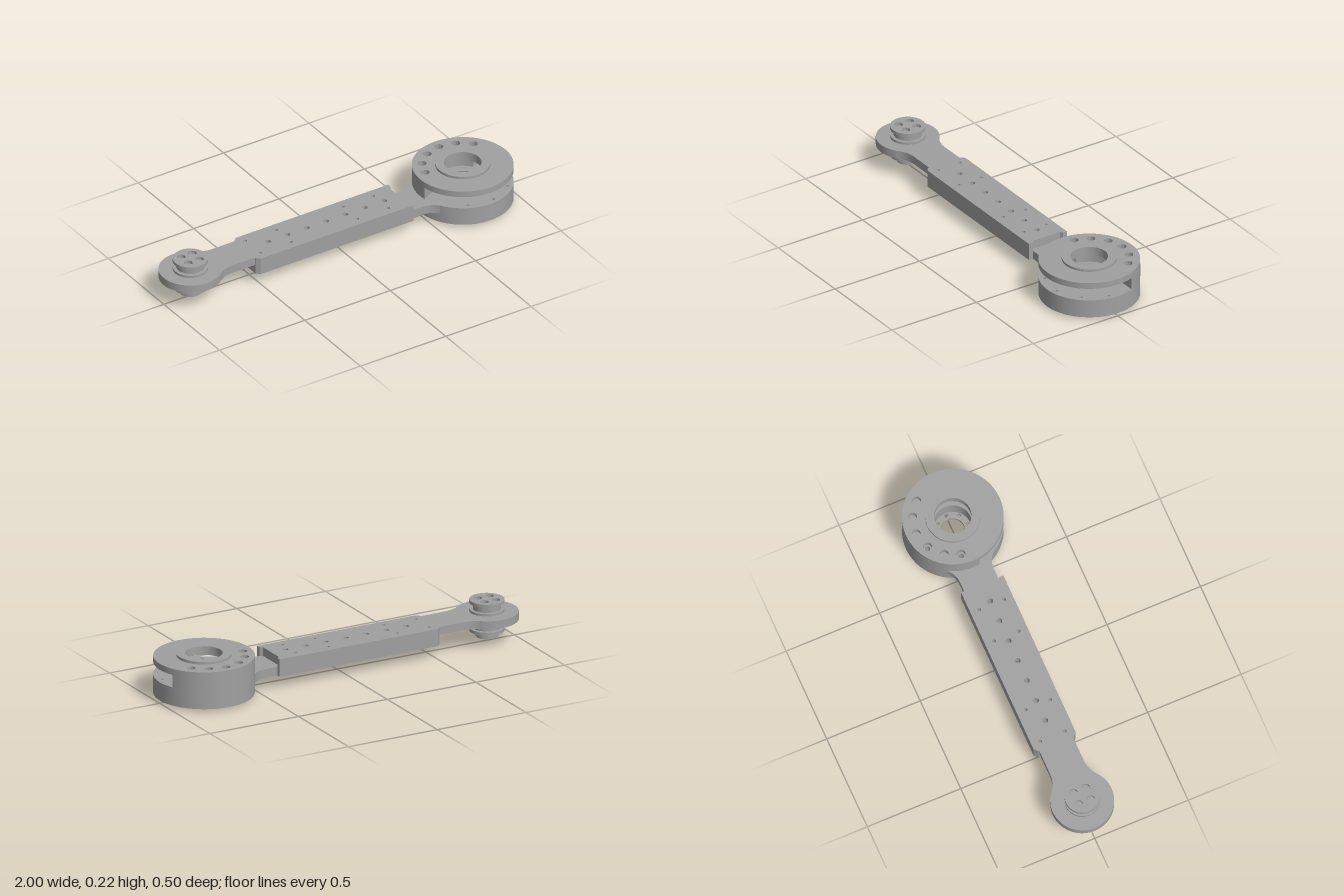
import * as THREE from 'three';
import { toCreasedNormals } from 'three/addons/utils/BufferGeometryUtils.js';

const metal = new THREE.MeshStandardMaterial({ color: 0xa0a0a0 });
metal.name = 'grey metal';

const HEAD = 0.75;   // x of the large joint
const END = -0.845;  // x of the small joint

export function createModel() {
  const model = new THREE.Group();
  model.name = 'robotArmLink';

  // Flat plate drawn in plan (x, z) between two heights; holes are [x, z, radius]
  function plate(name, shape, y0, y1, holes = []) {
    for (const [x, z, r] of holes) {
      const p = new THREE.Path();
      p.absarc(x, z, r, 0, Math.PI * 2, true);
      shape.holes.push(p);
    }
    let g = new THREE.ExtrudeGeometry(shape, { depth: y1 - y0, bevelEnabled: false, curveSegments: 40 });
    g.rotateX(Math.PI / 2).translate(0, y1, 0);
    g = toCreasedNormals(g, 0.5);
    const mesh = new THREE.Mesh(g, metal);
    mesh.name = name;
    model.add(mesh);
  }
  const disc = (x, r) => {
    const s = new THREE.Shape();
    s.absarc(x, 0, r, 0, Math.PI * 2, false);
    return s;
  };
  const ring = (x, n, radius, r, start = 0) => Array.from({ length: n }, (_, i) => {
    const a = start + (i / n) * Math.PI * 2;
    return [x + radius * Math.cos(a), radius * Math.sin(a), r];
  });
  const outline = (pts) => new THREE.Shape(pts.map(([x, z]) => new THREE.Vector2(x, z)));

  // Large joint: lower drum, with screw holes below and small holes on its deck
  plate('lowerBoss', disc(HEAD, 0.127), 0, 0.017, [[HEAD, 0, 0.06], ...ring(HEAD, 8, 0.08, 0.01)]);
  plate('drumBase', disc(HEAD, 0.25), 0.015, 0.05,
    [[HEAD, 0, 0.094], ...ring(HEAD, 6, 0.215, 0.02, 0.3)]);
  plate('drumDeck', disc(HEAD, 0.25), 0.05, 0.11,
    [[HEAD, 0, 0.094], ...ring(HEAD, 10, 0.222, 0.008, 0.15)]);

  // Large joint: rear wall leaving the front open
  const bolts = [[0.555, -0.04], [0.588, -0.117], [0.655, -0.176], [0.74, -0.2], [0.826, -0.182], [0.896, -0.13]];
  const wall = new THREE.Shape();
  wall.absarc(HEAD, 0, 0.25, Math.PI - 0.14, Math.PI * 2 - 0.39, false);
  wall.lineTo(0.88, -0.095);
  wall.absarc(HEAD, 0, 0.14, Math.PI * 2 - 0.631, Math.PI + 0.107, true);
  plate('rearWall', wall, 0.11, 0.175, [0, 2].map((i) => [...bolts[i], 0.013]));

  // Large joint: top cover and raised collar
  plate('topCover', disc(HEAD, 0.25), 0.175, 0.207,
    [[HEAD, 0, 0.092], ...bolts.map(([x, z]) => [x, z, 0.022])]);
  plate('topCollar', disc(HEAD, 0.136), 0.207, 0.22, [[HEAD, 0, 0.092]]);

  // Flared neck between beam and large joint
  const neck = new THREE.Shape();
  neck.moveTo(0.37, 0.09);
  neck.lineTo(0.45, 0.09);
  neck.quadraticCurveTo(0.5, 0.09, 0.535, 0.127);
  neck.lineTo(0.6, 0.12);
  neck.lineTo(0.6, -0.12);
  neck.lineTo(0.535, -0.127);
  neck.quadraticCurveTo(0.5, -0.09, 0.45, -0.09);
  neck.lineTo(0.37, -0.09);
  plate('headNeck', neck, 0.065, 0.1098, [[HEAD - 0.001, 0, 0.0001]].slice(1));

  // Beam: upper half with hole pattern, lower half with a long slot
  const row = Array.from({ length: 7 }, (_, i) => [-0.39 + i * 0.1133, 0, 0.014]);
  const sideHoles = [-0.48, -0.3, 0.09, 0.27].flatMap((x) => [[x, 0.066, 0.009], [x, -0.066, 0.009]]);
  const upper = outline([[-0.525, -0.095], [-0.505, -0.113], [0.387, -0.113], [0.387, -0.09], [0.372, -0.08],
    [0.372, 0.08], [0.387, 0.09], [0.387, 0.113], [-0.505, 0.113], [-0.525, 0.095]]);
  plate('beamTop', upper, 0.11, 0.155, [...row, ...sideHoles]);

  const lower = outline([[-0.525, -0.095], [-0.505, -0.113], [0.387, -0.113],
    [0.387, 0.113], [-0.505, 0.113], [-0.525, 0.095]]);
  const slot = new THREE.Path();
  slot.absarc(0.29, 0, 0.016, Math.PI / 2, -Math.PI / 2, true);
  slot.absarc(-0.39, 0, 0.016, -Math.PI / 2, -Math.PI * 1.5, true);
  slot.closePath();
  lower.holes.push(slot);
  plate('beamBottom', lower, 0.065, 0.11);

  // Tongue with a rounded eye at the small joint
  const a = (50 * Math.PI) / 180;
  const tongue = new THREE.Shape();
  tongue.moveTo(-0.522, 0.09);
  tongue.lineTo(-0.65, 0.09);
  tongue.quadraticCurveTo(-0.708, 0.09, END + 0.157 * Math.cos(a), 0.157 * Math.sin(a));
  tongue.absarc(END, 0, 0.157, a, Math.PI * 2 - a, false);
  tongue.quadraticCurveTo(-0.708, -0.09, -0.65, -0.09);
  tongue.lineTo(-0.522, -0.09);
  plate('tongue', tongue, 0.113, 0.155);

  // Small joint: flanged spools above and below the tongue
  const screws = ring(END, 4, 0.046, 0.021, Math.PI / 4);
  plate('upperSpoolFlange', disc(END, 0.087), 0.155, 0.167);
  plate('upperSpoolNeck', disc(END, 0.069), 0.167, 0.2);
  plate('upperSpoolCap', disc(END, 0.087), 0.2, 0.216, screws);
  plate('lowerSpoolFlange', disc(END, 0.087), 0.103, 0.113);
  plate('lowerSpoolNeck', disc(END, 0.069), 0.07, 0.103);
  plate('lowerSpoolCap', disc(END, 0.087), 0.054, 0.07);
  plate('lowerHub', disc(END, 0.055), 0.024, 0.054, [[END, 0, 0.025]]);

  return model;
}
